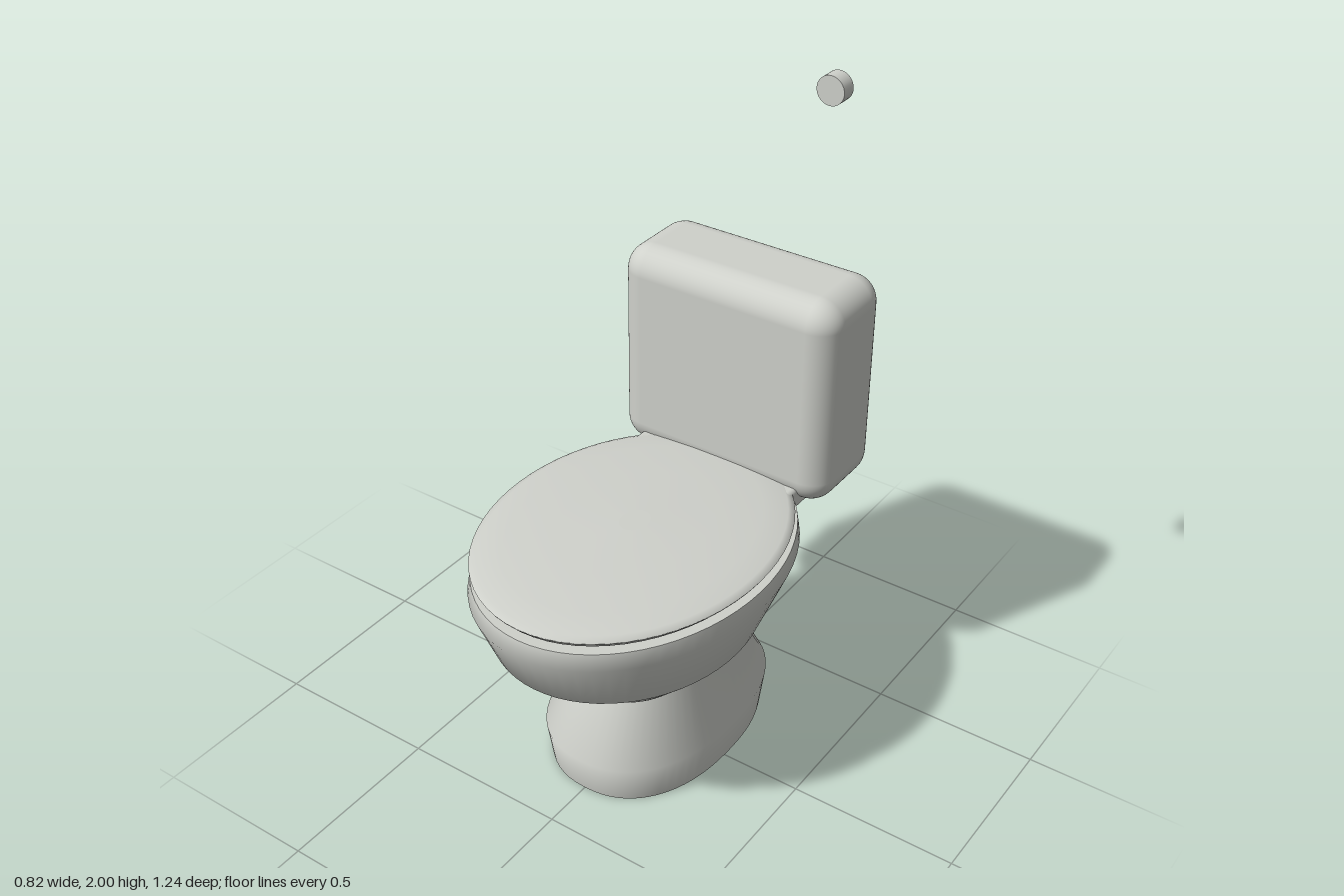
import * as THREE from 'three';
import { RoundedBoxGeometry } from 'three/addons/geometries/RoundedBoxGeometry.js';

const ceramic = new THREE.MeshStandardMaterial({ color: 0xcfd1cb });
ceramic.name = 'ceramic grey';

// Smooth skin through oval rings, bottom to top, closed by flat caps.
// Each ring: [y, half width, front z, back z, squareness]
function loft(rings, sides = 64) {
  const pos = [], index = [];
  const addRing = ([y, w, front, back, n = 2]) => {
    const start = pos.length / 3;
    const mid = (front + back) / 2, half = (front - back) / 2;
    for (let j = 0; j < sides; j++) {
      const t = (j / sides) * Math.PI * 2;
      const bend = (v) => Math.sign(v) * Math.abs(v) ** (2 / n);
      pos.push(w * bend(Math.cos(t)), y, mid + half * bend(Math.sin(t)));
    }
    return start;
  };
  const starts = rings.map(addRing);
  for (let i = 0; i < starts.length - 1; i++) {
    for (let j = 0; j < sides; j++) {
      const k = (j + 1) % sides;
      const a = starts[i] + j, b = starts[i] + k;
      const c = starts[i + 1] + j, d = starts[i + 1] + k;
      index.push(a, c, b, b, c, d);
    }
  }
  // caps have their own vertices so their edges stay sharp
  for (const up of [false, true]) {
    const ring = up ? rings[rings.length - 1] : rings[0];
    const s = addRing(ring);
    const centre = pos.length / 3;
    pos.push(0, ring[0], (ring[2] + ring[3]) / 2);
    for (let j = 0; j < sides; j++) {
      const a = s + j, b = s + (j + 1) % sides;
      if (up) index.push(centre, b, a);
      else index.push(centre, a, b);
    }
  }
  const g = new THREE.BufferGeometry();
  g.setAttribute('position', new THREE.Float32BufferAttribute(pos, 3));
  g.setIndex(index);
  g.computeVertexNormals();
  return g;
}

export function createModel() {
  const model = new THREE.Group();
  model.name = 'toilet';
  const add = (name, geometry, x = 0, y = 0, z = 0) => {
    const mesh = new THREE.Mesh(geometry, ceramic);
    mesh.name = name;
    mesh.position.set(x, y, z);
    model.add(mesh);
    return mesh;
  };

  // foot, waist and the neck leaning back under the tank
  add('pedestal', loft([
    [0, 0.255, 0.345, -0.39, 2.3],
    [0.12, 0.268, 0.365, -0.41, 2.3],
    [0.355, 0.18, 0.24, -0.285, 2.2],
    [0.64, 0.2, 0.1, -0.475, 2.2],
  ]));

  // bowl tapering forward and down
  add('bowl', loft([
    [0.355, 0.2, 0.34, -0.03],
    [0.52, 0.36, 0.55, -0.31],
    [0.68, 0.412, 0.62, -0.46],
    [0.73, 0.405, 0.61, -0.45],
  ]));

  // seat ring under the lid
  add('seat', loft([
    [0.731, 0.36, 0.56, -0.39],
    [0.742, 0.385, 0.59, -0.415],
    [0.755, 0.395, 0.6, -0.425],
  ]));

  // shallow domed lid
  add('lid', loft([
    [0.752, 0.385, 0.59, -0.41],
    [0.759, 0.4, 0.605, -0.425],
    [0.767, 0.405, 0.61, -0.43],
    [0.776, 0.385, 0.59, -0.41],
    [0.786, 0.32, 0.51, -0.33],
    [0.795, 0.2, 0.35, -0.17],
    [0.8, 0.04, 0.14, 0.04],
  ]));

  // hinge block joining lid and tank
  add('hinge', new RoundedBoxGeometry(0.535, 0.07, 0.17, 3, 0.015), 0, 0.74, -0.36);

  // water tank
  add('tank', new RoundedBoxGeometry(0.7, 0.645, 0.305, 6, 0.08), 0, 1.0425, -0.4675);

  // round flush button hovering above the tank
  const button = add('flushButton', new THREE.CylinderGeometry(0.04, 0.04, 0.045, 32), 0.28, 1.96, -0.383);
  button.rotation.x = Math.PI / 2;

  return model;
}
